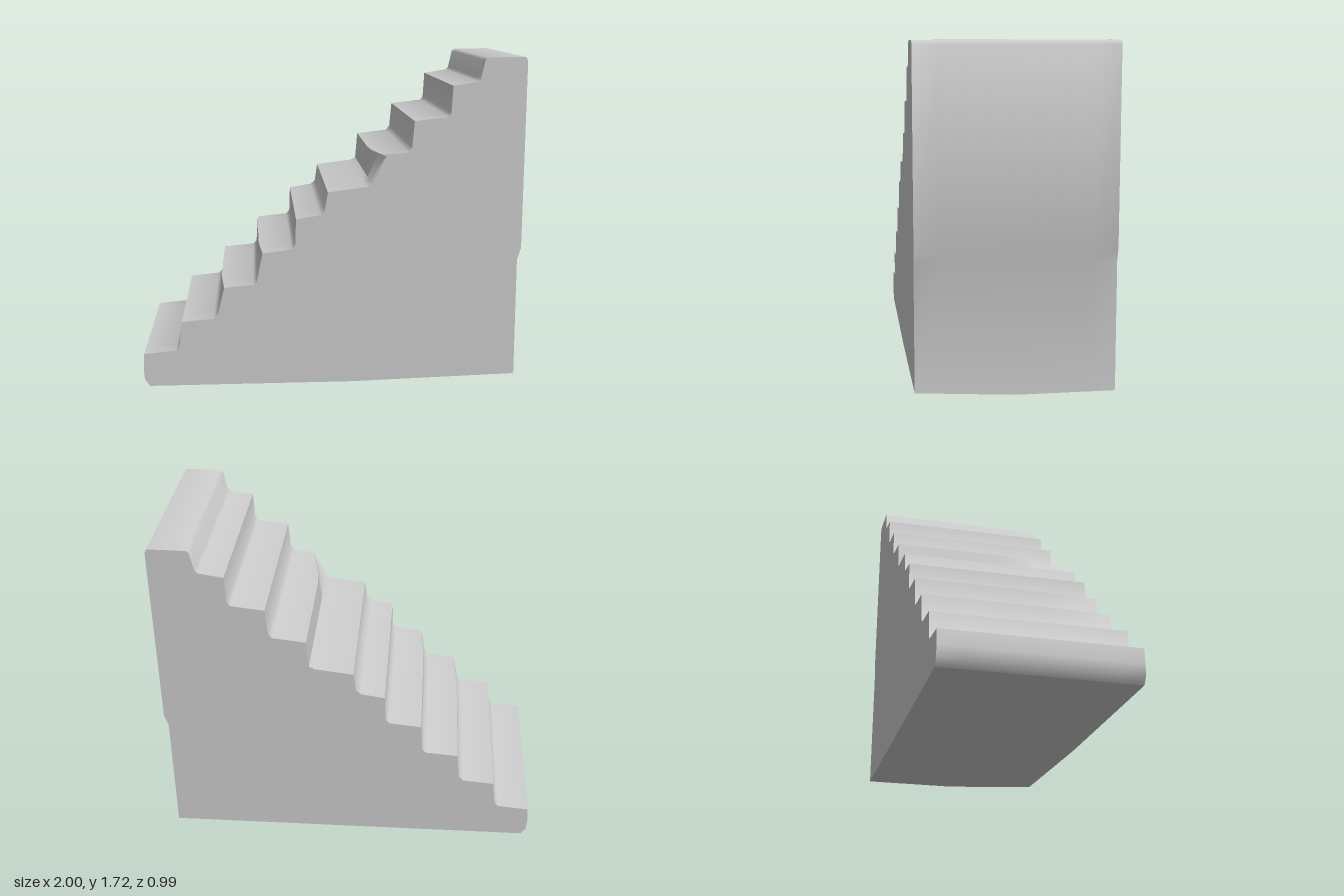
import * as THREE from 'three';
import { toCreasedNormals } from 'three/addons/utils/BufferGeometryUtils.js';

// Side outline: worn steps up to the right, then down the back wall and along the base
const outline = [
  [-0.97, 0.004], [-0.995, 0.04], [-1, 0.1], [-0.995, 0.18],
  [-0.83, 0.195], [-0.81, 0.22], [-0.795, 0.35],
  [-0.63, 0.365], [-0.605, 0.39], [-0.592, 0.53],
  [-0.42, 0.545], [-0.4, 0.565], [-0.39, 0.712],
  [-0.22, 0.73], [-0.2, 0.75], [-0.195, 0.89],
  [-0.07, 0.91], [-0.045, 0.93], [-0.03, 1.03],
  [0.17, 1.055], [0.2, 1.07], [0.212, 1.215],
  [0.385, 1.235], [0.405, 1.26], [0.417, 1.395],
  [0.59, 1.415], [0.605, 1.435], [0.613, 1.575],
  [0.74, 1.595], [0.755, 1.61], [0.775, 1.705], [0.79, 1.717],
  [0.985, 1.72], [0.995, 1.7], [0.99, 0.72], [0.97, 0.66], [0.97, 0], [0.1, 0.002],
];

// Step noses that are chipped back at the front end: x, y, amount
const chips = [[0.212, 1.215, 0.06], [-0.592, 0.53, 0.02], [-0.39, 0.712, 0.02]];

export function createModel() {
  const shape = new THREE.Shape(outline.map(([x, y]) => new THREE.Vector2(x, y)));
  const solid = new THREE.ExtrudeGeometry(shape, { depth: 0.99, steps: 8, bevelEnabled: false });
  solid.translate(0, 0, -0.5);

  const p = solid.attributes.position;
  for (let i = 0; i < p.count; i++) {
    const x = p.getX(i), y = p.getY(i), z = p.getZ(i);
    const front = Math.max(0, (z - 0.2) / 0.29);
    for (const [cx, cy, amount] of chips) {
      if (Math.hypot(x - cx, y - cy) < 0.005) p.setX(i, x + amount * front);
    }
    // Front edge of the base lifts slightly toward the tall end
    if (y < 0.003 && z > 0) p.setY(i, y + 0.032 * Math.max(0, x) * z / 0.49);
  }

  const staircase = new THREE.Mesh(
    toCreasedNormals(solid, 0.95),
    new THREE.MeshStandardMaterial({ color: 0xcccccc })
  );
  staircase.name = 'staircase';

  const group = new THREE.Group();
  group.name = 'solidStairs';
  group.add(staircase);
  return group;
}
